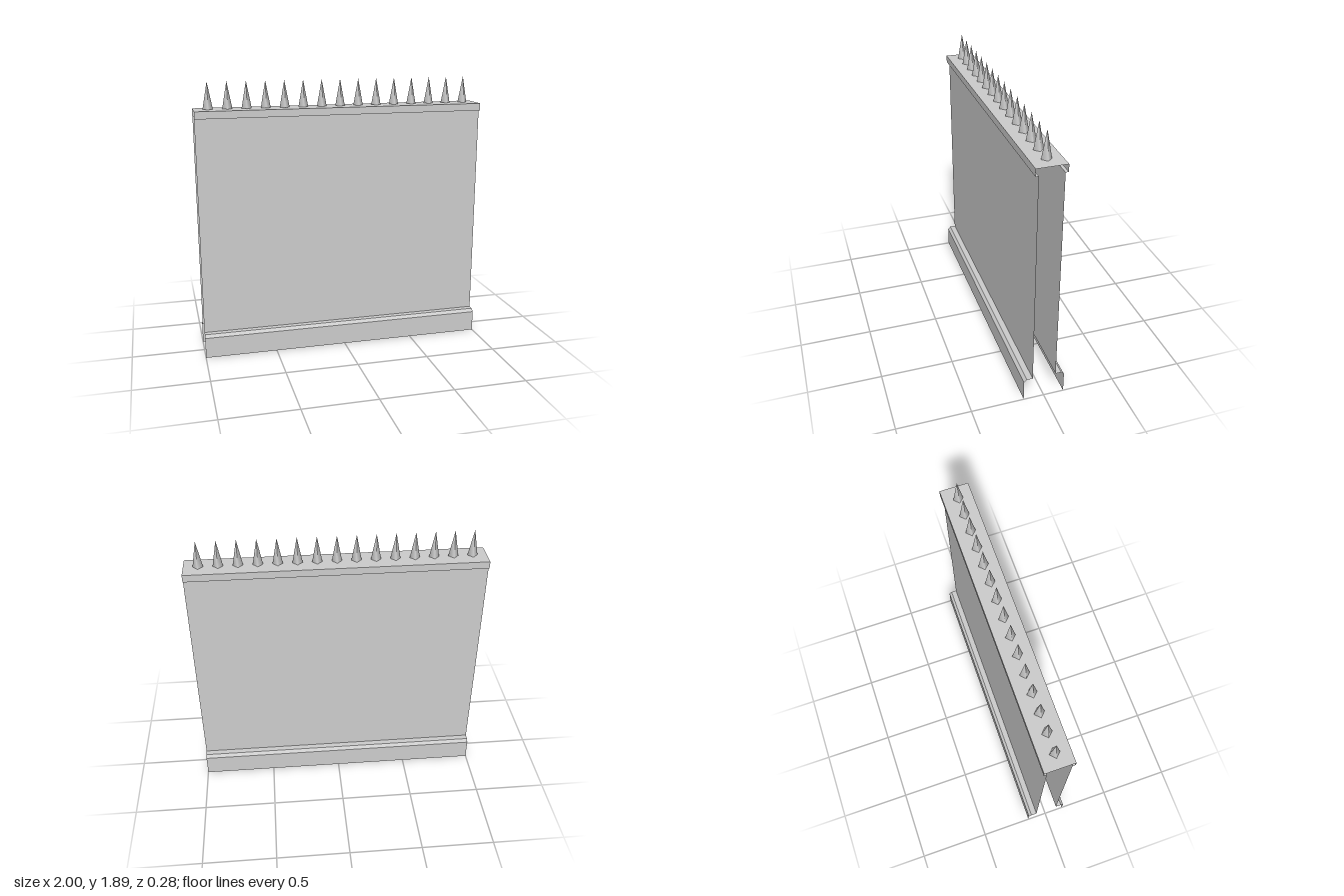
import * as THREE from 'three';

const LENGTH = 2;
const material = new THREE.MeshStandardMaterial({ color: 0xcccccc, side: THREE.DoubleSide, flatShading: true });
const spikeMaterial = new THREE.MeshStandardMaterial({ color: 0xcccccc, side: THREE.DoubleSide });

// Sweeps an open [z, y] profile along x into a thin, open-ended sheet.
function sheet(name, profile) {
  const positions = [];
  for (let i = 0; i < profile.length - 1; i++) {
    const [z0, y0] = profile[i];
    const [z1, y1] = profile[i + 1];
    const l = -LENGTH / 2, r = LENGTH / 2;
    positions.push(l, y0, z0, r, y0, z0, r, y1, z1, l, y0, z0, r, y1, z1, l, y1, z1);
  }
  const geometry = new THREE.BufferGeometry();
  geometry.setAttribute('position', new THREE.Float32BufferAttribute(positions, 3));
  geometry.computeVertexNormals();
  const mesh = new THREE.Mesh(geometry, material);
  mesh.name = name;
  return mesh;
}

export function createModel() {
  const group = new THREE.Group();
  group.name = 'spikedWall';

  // Each side: flared plinth with a bevel and ledge, then the wall face
  const plinth = [[0.14, 0], [0.14, 0.145], [0.12, 0.165], [0.08, 0.165]];
  const face = [[0.08, 0.165], [0.08, 1.66]];
  const mirror = (profile) => profile.map(([z, y]) => [-z, y]).reverse();
  group.add(
    sheet('frontPlinth', plinth), sheet('backPlinth', mirror(plinth)),
    sheet('frontWall', face), sheet('backWall', mirror(face))
  );

  // Overhanging coping along the top
  group.add(sheet('coping', [
    [0.08, 1.66], [0.1, 1.66], [0.1, 1.71], [-0.1, 1.71], [-0.1, 1.66], [-0.08, 1.66]
  ]));

  // Row of four-sided spikes
  const count = 15, height = 0.183;
  const spikeGeometry = new THREE.ConeGeometry(0.034, height, 4, 1, true);
  const spikes = new THREE.Group();
  spikes.name = 'spikes';
  for (let i = 0; i < count; i++) {
    const spike = new THREE.Mesh(spikeGeometry, spikeMaterial);
    spike.name = 'spike';
    spike.position.set((i - (count - 1) / 2) * 0.129, 1.712 + height / 2, 0);
    spikes.add(spike);
  }
  group.add(spikes);

  return group;
}
